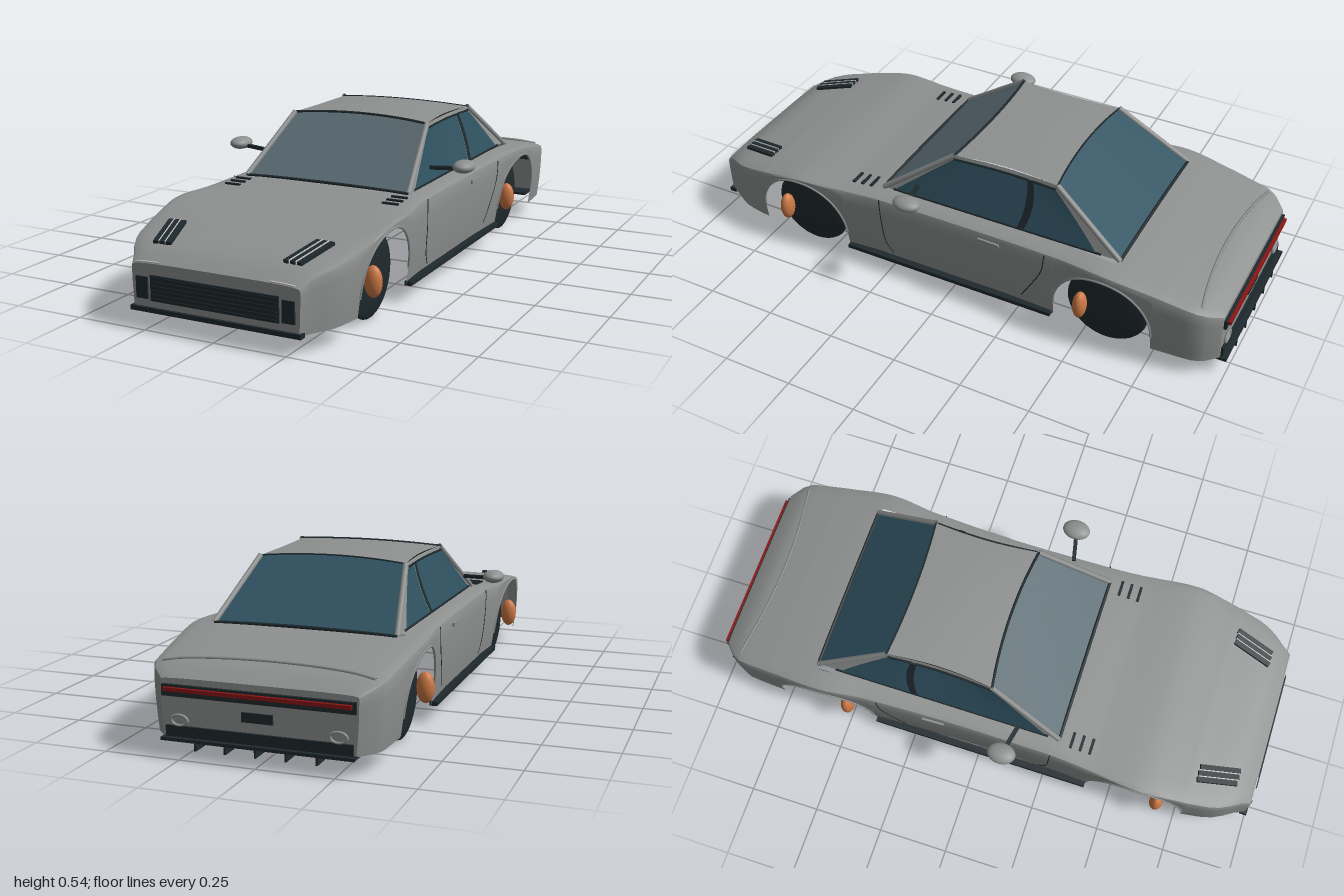
import * as THREE from 'three';
import { toCreasedNormals } from 'three/addons/utils/BufferGeometryUtils.js';

const V = (x, y, z) => new THREE.Vector3(x, y, z);
const paint = (color) => new THREE.MeshStandardMaterial({ color, side: THREE.DoubleSide });
const GREY = paint(0x8e9190), DARK = paint(0x1f292d), GLASS = paint(0x305261), SCREEN = paint(0x5a6b72);
const ORANGE = paint(0xcc7844), RED = paint(0x8c1414), LIGHT = paint(0xf0f0f0), LINING = paint(0x2d2927);

// Body stations from nose to tail: z, half width, shoulder height, centre height
const STATIONS = [
  [0.99, 0.295, 0.2, 0.217], [0.955, 0.312, 0.222, 0.24], [0.915, 0.34, 0.236, 0.258], [0.87, 0.364, 0.247, 0.27],
  [0.76, 0.385, 0.274, 0.292], [0.6, 0.4, 0.312, 0.317], [0.42, 0.386, 0.308, 0.324], [0.28, 0.376, 0.305, 0.335],
  [-0.1, 0.373, 0.305, 0.336], [-0.42, 0.385, 0.312, 0.342], [-0.58, 0.403, 0.316, 0.342], [-0.76, 0.39, 0.288, 0.318],
  [-0.9, 0.376, 0.264, 0.29], [-0.945, 0.352, 0.252, 0.272], [-0.975, 0.317, 0.24, 0.25],
];
const curve = new THREE.CatmullRomCurve3(STATIONS.map((s) => V(s[1], s[2], s[3])), false, 'catmullrom', 0.5);
const WHEELS = [0.592, -0.58], ARCH = 0.178, SILL = 0.065;

function station(z) {
  const n = STATIONS.length - 1;
  let i = 0;
  while (i < n - 1 && z < STATIONS[i + 1][0]) i++;
  const f = (STATIONS[i][0] - z) / (STATIONS[i][0] - STATIONS[i + 1][0]);
  const p = curve.getPoint(THREE.MathUtils.clamp((i + f) / n, 0, 1));
  return { w: p.x, ys: p.y, yc: p.z };
}
function topY(x, z) {
  const s = station(z), r = Math.min(1, Math.abs(x) / s.w);
  return s.ys + (s.yc - s.ys) * Math.pow(1 - r ** 4, 0.25);
}
function sideX(y, z) {
  const s = station(z);
  return s.w * (1 - 0.06 * (Math.max(0, s.ys - y) / 0.25) ** 2);
}
function bottomY(z) {
  for (const c of WHEELS) {
    const d = Math.abs(z - c);
    if (d < ARCH) return 0.125 + Math.sqrt(ARCH * ARCH - d * d);
  }
  return SILL;
}

// Surface from a rule f(i, j) -> Vector3 on a grid of cells
function grid(ni, nj, f, skip = () => false) {
  const pos = [], idx = [];
  for (let i = 0; i <= ni; i++) for (let j = 0; j <= nj; j++) pos.push(...f(i, j).toArray());
  for (let i = 0; i < ni; i++) for (let j = 0; j < nj; j++) {
    if (skip(i, j)) continue;
    const a = i * (nj + 1) + j, b = a + nj + 1;
    idx.push(a, b, a + 1, b, b + 1, a + 1);
  }
  const g = new THREE.BufferGeometry();
  g.setAttribute('position', new THREE.Float32BufferAttribute(pos, 3));
  g.setIndex(idx);
  g.computeVertexNormals();
  return g;
}

export function createModel() {
  const car = new THREE.Group();
  car.name = 'car';
  const add = (name, geo, mat, x = 0, y = 0, z = 0) => {
    const m = new THREE.Mesh(geo, mat);
    m.name = name;
    m.position.set(x, y, z);
    car.add(m);
    return m;
  };
  const box = (name, mat, w, h, d, x, y, z) => add(name, new THREE.BoxGeometry(w, h, d), mat, x, y, z);
  const bar = (name, mat, a, b, w, h) => {
    const mid = a.clone().lerp(b, 0.5);
    box(name, mat, w, h, a.distanceTo(b), mid.x, mid.y, mid.z).lookAt(b);
  };
  const tube = (name, mat, pts, r, n = 24) =>
    add(name, new THREE.TubeGeometry(new THREE.CatmullRomCurve3(pts), n, r, 6), mat);
  const ball = (name, mat, rx, ry, rz, x, y, z) =>
    add(name, new THREE.SphereGeometry(1, 28, 18), mat, x, y, z).scale.set(rx, ry, rz);
  // Cabin panel with a dark lining just inside it
  const lined = (name, geo, mat) => {
    add(name, geo, mat);
    add(name + 'Lining', geo, LINING, 0, 0.33 * 0.02, -0.16 * 0.02).scale.setScalar(0.98);
  };

  // Body shell: open below and under the cabin, with wheel arches cut into the sides
  const zs = [0.28, -0.6];
  for (let z = 0.99; z > -0.97; z -= 0.035) zs.push(z);
  for (const c of WHEELS) {
    zs.push(c + ARCH + 1e-4, c - ARCH - 1e-4);
    for (let i = 0; i <= 20; i++) zs.push(c + (ARCH - 1e-4) * Math.cos((i * Math.PI) / 20));
  }
  zs.push(-0.975);
  zs.sort((a, b) => b - a);
  const rows = [zs[0], ...zs, -0.975];
  const top = [0, 0.2, 0.42, 0.65, 0.82, 0.9, 0.955, 0.99], K = top.length + 6;
  const section = (i, j) => {
    const z = rows[i], k = Math.abs(j - K), s = station(z);
    const cap = i === 0 || i === rows.length - 1 ? 0 : Math.sign(j - K);
    if (k < top.length) return V(cap * top[k] * s.w, topY(top[k] * s.w, z), z);
    const y = THREE.MathUtils.lerp(s.ys, bottomY(z), (k - top.length) / 6);
    return V(cap * sideX(y, z), y, z);
  };
  const cabinHole = (i, j) =>
    rows[i] <= 0.2801 && rows[i + 1] >= -0.6001 && j >= K - 4 && j < K + 4;
  add('bodyShell', toCreasedNormals(grid(rows.length - 1, 2 * K, section, cabinHole), 0.6), GREY);

  // Cabin: windscreen, roof, rear window
  const bow = (a, b, dy, dz, u, v) => {
    const p = a.clone().lerp(b, v), s = 2 * u - 1, c = 1 - s * s;
    return V(p.x * s, p.y + dy * c * v, p.z + dz * c);
  };
  const A = V(0.312, 0.333, 0.285), B = V(0.262, 0.52, 0.025), C = V(0.258, 0.52, -0.355), D = V(0.312, 0.338, -0.61);
  const N = 12;
  lined('windscreen', grid(N, 6, (i, j) => bow(A, B, 0.012, -0.02 * j / 6, i / N, j / 6)), SCREEN);
  lined('rearWindow', grid(N, 6, (i, j) => bow(D, C, 0.012, 0.015 * j / 6, i / N, j / 6)), GLASS);
  lined('roof', grid(N, 10, (i, j) => {
    const v = j / 10, p = bow(B, C, 0, -0.02 + 0.035 * v, i / N, v), s = 2 * i / N - 1;
    p.x *= 1 - 0.05 * Math.sin(Math.PI * v);
    p.y += 0.012 * (1 - s * s) + 0.004 * Math.sin(Math.PI * v);
    return p;
  }), GREY);
  const edge = (a, dy, dz) => [...Array(9)].map((_, i) => bow(a, a, dy, dz, i / 8, 1));
  tube('windscreenBottomSeal', DARK, edge(A, 0.005, 0), 0.006);
  tube('windscreenTopSeal', DARK, edge(B, 0.012, -0.02), 0.005);
  tube('rearWindowTopSeal', DARK, edge(C, 0.012, 0.015), 0.003);
  tube('rearWindowBottomSeal', DARK, edge(D, 0.006, 0), 0.006);

  for (const s of [1, -1]) {
    const side = s > 0 ? 'left' : 'right';
    const m = (x, y, z) => V(s * x, y, z);
    // Cabin side with two panes, door pillar, corner pillars and seals
    const wall = (u, v, out = 0) => {
      const p = A.clone().lerp(D, u).lerp(B.clone().lerp(C, u), v);
      return m(p.x + out - 0.012 * Math.sin(Math.PI * u) * v, p.y, p.z);
    };
    lined(side + 'CabinSide', grid(12, 4, (i, j) => wall(i / 12, j / 4)), GREY);
    for (const [name, mat, b0, b1, t0, t1, out] of [
      ['FrontPane', GLASS, 0.045, 0.585, 0.04, 0.7, 0.004],
      ['DoorPillar', DARK, 0.583, 0.612, 0.695, 0.75, 0.006],
      ['RearPane', GLASS, 0.61, 0.91, 0.745, 0.945, 0.004],
    ]) {
      const pane = (a, v) => wall(THREE.MathUtils.lerp(b0 + (b1 - b0) * a, t0 + (t1 - t0) * a, v), 0.03 + 0.9 * v, out);
      add(side + name, grid(8, 4, (i, j) => pane(i / 8, j / 4)), mat);
      tube(side + name + 'Seal', DARK, [0, 0.25, 0.5, 0.75, 1].map((a) => pane(a, 1)), 0.004, 12);
    }
    tube(side + 'FrontPillar', GREY, [wall(0, 0), wall(0, 0.5), wall(0, 1)], 0.01);
    tube(side + 'RearPillar', GREY, [wall(1, 0), wall(1, 0.5), wall(1, 1)], 0.01);
    tube(side + 'BeltSeal', DARK, [wall(0.04, 0.02, 0.003), wall(0.5, 0.02, 0.003), wall(0.93, 0.02, 0.003)], 0.004);

    // Wheels, brake calipers and arch lips
    WHEELS.forEach((c, i) => {
      const end = side + (i ? 'Rear' : 'Front');
      ball(end + 'Wheel', DARK, 0.021, 0.143, 0.146, s * 0.32, 0.144, c);
      ball(end + 'Caliper', ORANGE, 0.03, 0.052, 0.024, s * 0.372, 0.152, c + 0.08);
      const lip = [];
      for (let k = 0; k <= 16; k++) {
        const a = (k * Math.PI) / 16, z = c + ARCH * Math.cos(a), y = 0.125 + ARCH * Math.sin(a);
        lip.push(m(sideX(y, z), y, z));
      }
      tube(end + 'ArchLip', GREY, lip, 0.004, 40);
    });

    // Door shut lines, handle and sill
    const onSide = (y, z, out = 0) => m(sideX(y, z) + out, y, z);
    tube(side + 'DoorFrontLine', DARK, [[0.32, 0.27], [0.22, 0.265], [0.13, 0.255], [0.085, 0.23]].map((p) => onSide(...p)), 0.002);
    tube(side + 'DoorRearLine', DARK, [[0.32, -0.37], [0.25, -0.36], [0.17, -0.32], [0.1, -0.28]].map((p) => onSide(...p)), 0.002);
    bar(side + 'DoorHandle', GREY, onSide(0.292, -0.12, 0.002), onSide(0.292, -0.2, 0.002), 0.01, 0.012);
    bar(side + 'Sill', DARK, onSide(0.067, 0.41, 0.006), onSide(0.067, -0.395, 0.006), 0.025, 0.014);

    // Mirror on its arm
    ball(side + 'Mirror', GREY, 0.037, 0.022, 0.05, s * 0.44, 0.405, 0.115);
    bar(side + 'MirrorArm', DARK, m(0.325, 0.395, 0.14), m(0.42, 0.398, 0.12), 0.014, 0.012);

    // Louvred lamp covers and bonnet vents
    for (let k = 0; k < 3; k++) {
      const x0 = 0.207 + 0.023 * k, x1 = x0 + 0.037;
      const strip = (name, mat, dx, up, w) => bar(side + name + (k + 1), mat,
        m(x0 + dx, topY(x0 + dx, 0.92) + up, 0.92), m(x1 + dx, topY(x1 + dx, 0.78) + up, 0.78), w, 0.01);
      strip('LampLouvre', DARK, 0, 0.007, 0.018);
      if (k < 2) strip('LampStrip', LIGHT, 0.0115, 0.009, 0.003);
      const z = 0.33 + 0.035 * k;
      box(side + 'BonnetVent' + (k + 1), DARK, 0.058, 0.006, 0.01, s * 0.3, topY(0.3, z) + 0.003, z);
    }
    tube(side + 'NoseLamp', LIGHT, [0.195, 0.225, 0.255, 0.28].map((x) => m(x, topY(x, 0.985) + 0.001, 0.988)), 0.003);
    box(side + 'NoseIntake', DARK, 0.042, 0.07, 0.006, s * 0.257, 0.137, 0.9935);

    // Exhaust outlet
    const pipe = add(side + 'Exhaust', new THREE.TorusGeometry(0.022, 0.005, 8, 24), GREY, s * 0.255, 0.12, -0.98);
    pipe.scale.set(1.2, 0.75, 1);
  }

  // Nose: slatted grille and splitter
  box('grille', DARK, 0.45, 0.082, 0.006, 0, 0.139, 0.9935);
  for (let k = 0; k < 6; k++) box('grilleSlat' + (k + 1), DARK, 0.44, 0.006, 0.005, 0, 0.105 + k * 0.0136, 0.9975);
  box('splitter', DARK, 0.6, 0.015, 0.025, 0, 0.068, 0.987);

  // Tail: light band, plate recess, diffuser with fins, boot lip
  box('tailBand', DARK, 0.62, 0.036, 0.01, 0, 0.212, -0.98);
  box('tailLight', RED, 0.6, 0.012, 0.014, 0, 0.217, -0.989);
  box('plateRecess', DARK, 0.1, 0.03, 0.006, 0, 0.15, -0.978);
  box('rearValance', DARK, 0.6, 0.038, 0.008, 0, 0.083, -0.979);
  box('diffuser', DARK, 0.62, 0.01, 0.1, 0, 0.063, -0.949);
  for (let k = -2; k <= 2; k++) box('diffuserFin' + (k + 3), DARK, 0.006, 0.03, 0.1, k * 0.0975, 0.049, -0.95);
  const lip = [];
  for (let x = -0.345; x < 0.35; x += 0.069) {
    const z = -0.872 - 0.035 * (x / 0.345) ** 2;
    lip.push(V(x, topY(x, z) + 0.003, z));
  }
  tube('bootLip', GREY, lip, 0.005, 32);
  return car;
}
